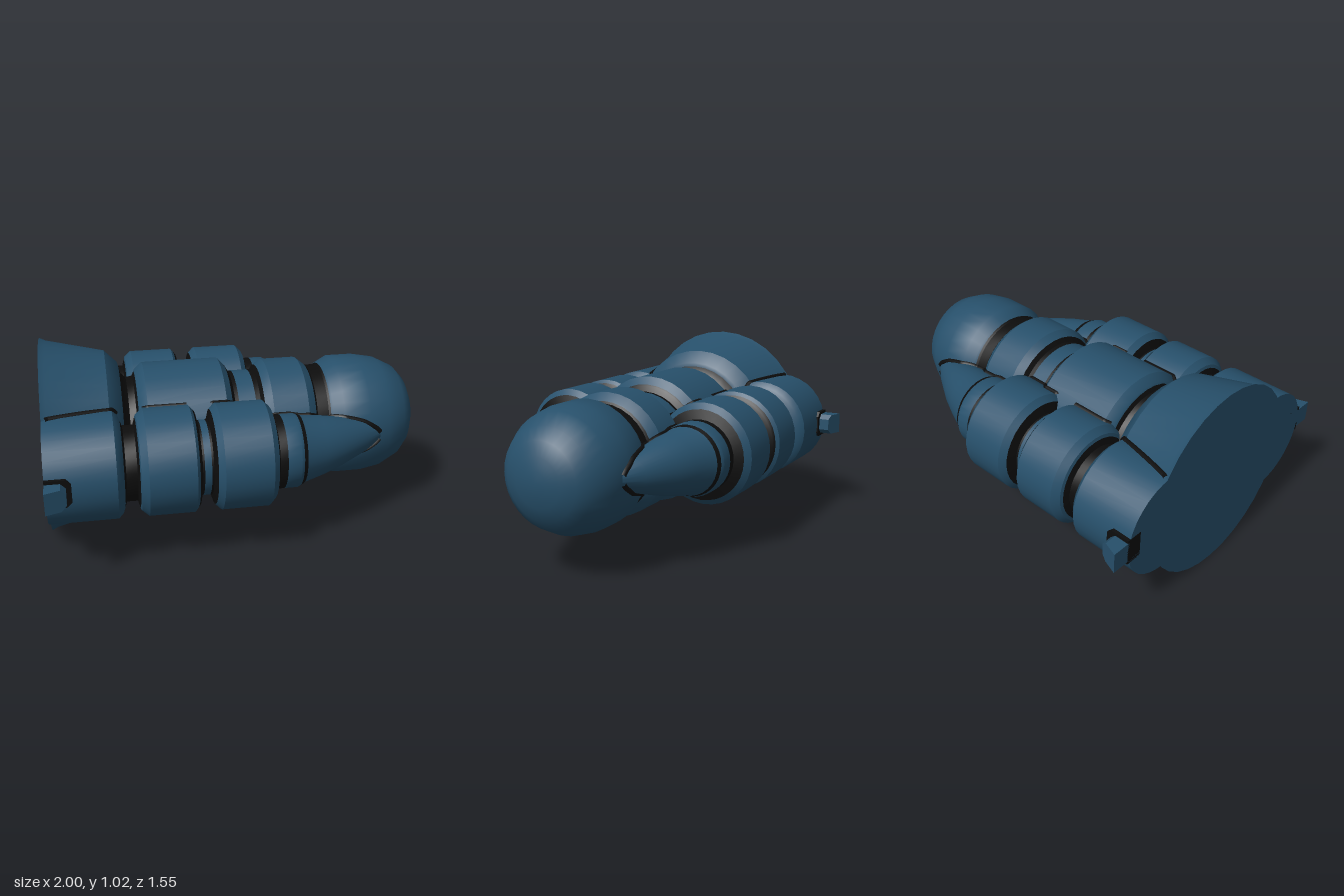
import * as THREE from 'three';
import { toCreasedNormals } from 'three/addons/utils/BufferGeometryUtils.js';

const AXIS_Y = 0.51, SIDE_Z = 0.41, SEGMENTS = 32;

// Profiles as [x, radius], running from the flat tail to the nose
const CORE = [[-1, 0], [-1, 0.51], [-0.97, 0.495], [-0.67, 0.425], [-0.605, 0.36], [-0.59, 0.3], [-0.565, 0.275],
  [-0.53, 0.28], [-0.515, 0.315], [-0.475, 0.35], [-0.07, 0.35], [-0.03, 0.305], [-0.015, 0.275], [0.12, 0.275],
  [0.135, 0.3], [0.175, 0.328], [0.36, 0.328], [0.4, 0.295], [0.415, 0.28], [0.475, 0.28], [0.495, 0.295],
  [0.55, 0.325], [0.69, 0.325], [0.8, 0.305], [0.9, 0.253], [0.95, 0.195], [0.98, 0.125], [0.994, 0.06], [1, 0]];
const BOOSTER = [[-1, 0], [-1, 0.27], [-0.66, 0.27], [-0.635, 0.245], [-0.615, 0.19], [-0.56, 0.19], [-0.545, 0.24],
  [-0.51, 0.27], [-0.28, 0.27], [-0.255, 0.24], [-0.245, 0.19], [-0.19, 0.19], [-0.175, 0.24], [-0.145, 0.27],
  [0.095, 0.27], [0.125, 0.24], [0.14, 0.19], [0.25, 0.19], [0.3, 0.172], [0.4, 0.154], [0.5, 0.13],
  [0.65, 0.085], [0.77, 0.035], [0.8, 0]];
// The booster nose leans inward: [x, centre z]
const LEAN = [[-1, SIDE_Z], [0.25, SIDE_Z], [0.5, 0.35], [0.65, 0.305], [0.8, 0.25]];

const valueAt = (table, x) => {
  for (let i = 0; i < table.length - 1; i++) {
    const [x0, v0] = table[i], [x1, v1] = table[i + 1];
    if (x1 > x0 && x >= x0 && x <= x1) return v0 + (v1 - v0) * (x - x0) / (x1 - x0);
  }
  return 0;
};

// Turned section of a profile between two x positions
function turned(profile, x0, x1, centreZ) {
  const pts = profile.filter(([x]) => x >= x0 && x <= x1);
  if (!pts.length || pts[0][0] !== x0) pts.unshift([x0, valueAt(profile, x0)]);
  if (pts[pts.length - 1][0] !== x1) pts.push([x1, valueAt(profile, x1)]);
  const geo = new THREE.LatheGeometry(pts.map(([x, r]) => new THREE.Vector2(r, x)), SEGMENTS);
  geo.rotateZ(-Math.PI / 2);
  const pos = geo.attributes.position;
  for (let i = 0; i < pos.count; i++) pos.setZ(i, pos.getZ(i) + centreZ(pos.getX(i)));
  geo.translate(0, AXIS_Y, 0);
  return toCreasedNormals(geo, 0.55);
}

// Whole turned body, alternating between shell and dark bands
function bandedBody(name, profile, bands, centreZ, mats) {
  const group = new THREE.Group();
  group.name = name;
  let x = -1;
  const end = profile[profile.length - 1][0];
  const add = (x1, mat, part) => {
    const mesh = new THREE.Mesh(turned(profile, x, x1, centreZ), mat);
    mesh.name = part;
    group.add(mesh);
    x = x1;
  };
  for (const [a, b] of bands) {
    add(a, mats.shell, name + 'Shell');
    add(b, mats.dark, name + 'Groove');
  }
  add(end, mats.shell, name + 'Shell');
  return group;
}

// Dark seam where a booster meets the core, found from the two circles
function seam(x0, x1, side, up, mat) {
  const pts = [];
  for (let i = 0; i <= 40; i++) {
    const x = x0 + (x1 - x0) * i / 40;
    const R = valueAt(CORE, x), r = valueAt(BOOSTER, x), c = valueAt(LEAN, x);
    const z = (R * R - r * r + c * c) / (2 * c);
    pts.push(new THREE.Vector3(x, AXIS_Y + up * Math.sqrt(Math.max(0, R * R - z * z)), side * z));
  }
  const curve = new THREE.CatmullRomCurve3(pts);
  const mesh = new THREE.Mesh(new THREE.TubeGeometry(curve, 60, 0.014, 6), mat);
  mesh.name = 'seam';
  return mesh;
}

// Chamfered lug on the outside of a booster, sloping down toward the front
function lug(name, length, half, top, slope, side, mat) {
  const c = 0.025, x = -1 + length;
  const shape = new THREE.Shape([[-1, -half], [x - c, -half], [x, -half + c], [x, half - c], [x - c, half], [-1, half]]
    .map(([px, py]) => new THREE.Vector2(px, py)));
  const geo = new THREE.ExtrudeGeometry(shape, { depth: top - 0.6, bevelEnabled: false });
  const pos = geo.attributes.position;
  for (let i = 0; i < pos.count; i++) {
    if (pos.getZ(i) > 0.01) pos.setZ(i, pos.getZ(i) - slope * (pos.getX(i) + 1));
  }
  geo.translate(0, AXIS_Y + 0.005, 0.6);
  if (side < 0) geo.rotateX(Math.PI).translate(0, 2 * AXIS_Y + 0.01, 0);
  geo.computeVertexNormals();
  const mesh = new THREE.Mesh(geo, mat);
  mesh.name = name;
  return mesh;
}

export function createModel() {
  const model = new THREE.Group();
  model.name = 'boosterPod';
  const mats = {
    shell: new THREE.MeshStandardMaterial({ color: 0x27506b }),
    dark: new THREE.MeshStandardMaterial({ color: 0x0d0d0d }),
  };
  mats.shell.name = 'deep blue';
  mats.dark.name = 'black';

  // Central body
  model.add(bandedBody('core', CORE,
    [[-0.6, -0.52], [-0.035, 0.005], [0.095, 0.135], [0.405, 0.485]], () => 0, mats));

  // Side boosters, their lugs and the seams along the core
  for (const side of [1, -1]) {
    model.add(bandedBody(side > 0 ? 'leftBooster' : 'rightBooster', BOOSTER,
      [[-0.625, -0.55], [-0.265, -0.235], [-0.2, -0.175], [0.125, 0.18], [0.265, 0.285]],
      (x) => side * valueAt(LEAN, x), mats));
    model.add(lug('lugBase', 0.125, 0.072, 0.685, 0, side, mats.dark));
    model.add(lug('lug', 0.1, 0.056, 0.775, 0.35, side, mats.shell));
    for (const up of [1, -1]) {
      model.add(seam(-0.985, -0.64, side, up, mats.dark));
      model.add(seam(-0.5, -0.28, side, up, mats.dark));
      model.add(seam(-0.15, 0.1, side, up, mats.dark));
      model.add(seam(0.15, 0.74, side, up, mats.dark));
    }
  }
  return model;
}
